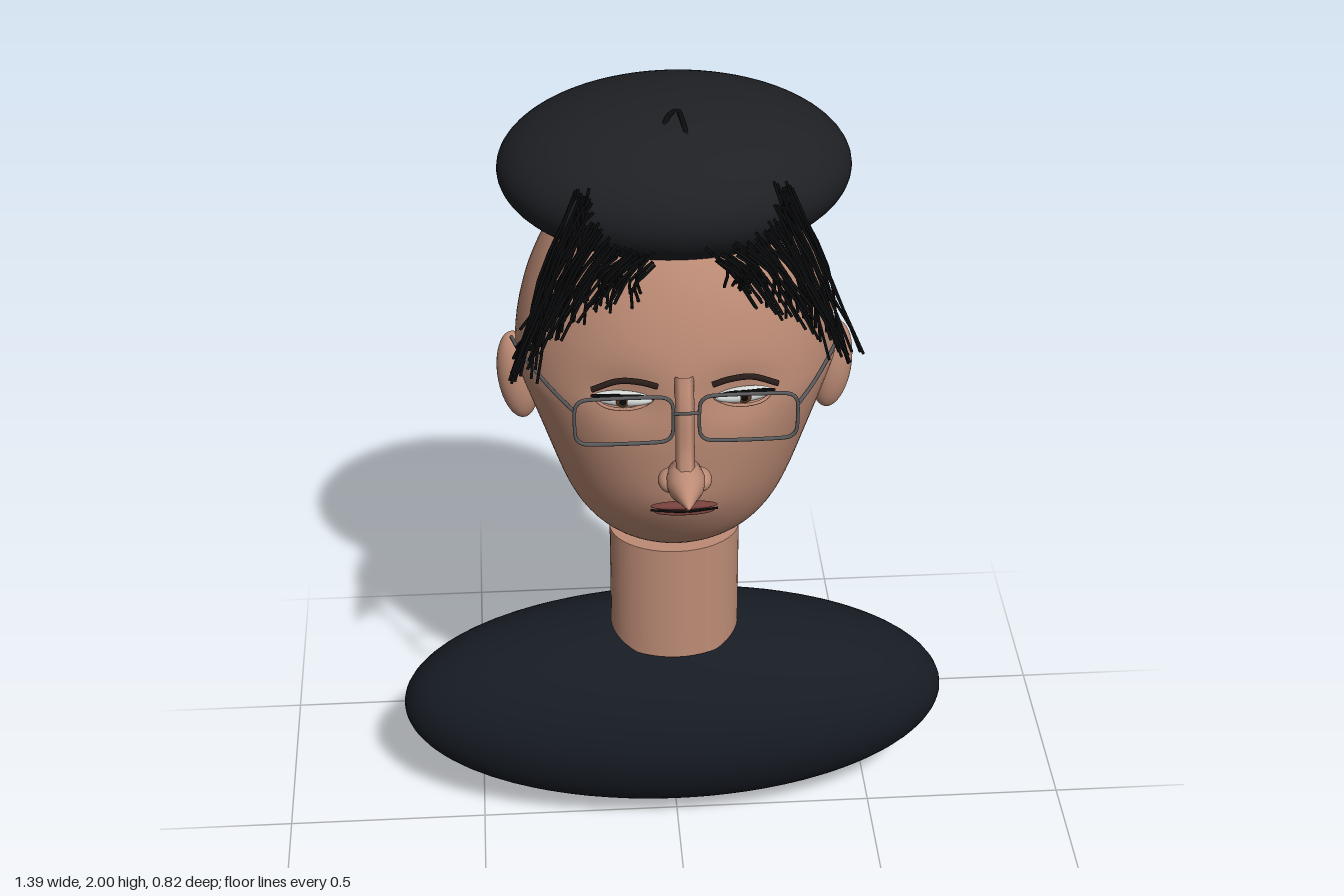
import * as THREE from 'three';
import { mergeGeometries } from 'three/addons/utils/BufferGeometryUtils.js';

const mat = (color, side = THREE.FrontSide) => new THREE.MeshStandardMaterial({ color, side });
const V = (x, y, z) => new THREE.Vector3(x, y, z);

export function createModel() {
  const model = new THREE.Group();
  const skin = mat(0xbe8c76), cloth = mat(0x171c24), felt = mat(0x1e2024);
  const hairMat = mat(0x0b0c0e), browMat = mat(0x2a1d19), metal = mat(0x5a5a5c);
  const white = mat(0xd9dedb), brown = mat(0x5b3a28), black = mat(0x080808), lip = mat(0x76413c);

  const add = (name, geometry, material, parent = model) => {
    const mesh = new THREE.Mesh(geometry, material);
    mesh.name = name;
    parent.add(mesh);
    return mesh;
  };
  const ball = (name, material, pos, radii, parent = model, seg = 32) => {
    const mesh = add(name, new THREE.SphereGeometry(1, seg, Math.ceil(seg * 0.7)), material, parent);
    mesh.position.set(...pos);
    mesh.scale.set(...radii);
    return mesh;
  };
  const wire = (pts, r, seg = 24, closed = false) =>
    new THREE.TubeGeometry(new THREE.CatmullRomCurve3(pts, closed, 'centripetal'), seg, r, 6, closed);

  // Shoulders, neck and beret
  ball('shoulders', cloth, [0, 0.275, -0.135], [0.695, 0.275, 0.275], model, 64);
  const neck = add('neck', new THREE.CylinderGeometry(1, 1, 0.32, 48), skin);
  neck.position.set(0, 0.67, -0.098);
  neck.scale.set(0.16, 1, 0.128);
  ball('beret', felt, [0, 1.82, -0.09], [0.405, 0.18, 0.322], model, 64);

  // Head: egg that narrows at the jaw, with shallow eye sockets
  const head = new THREE.SphereGeometry(1, 80, 64);
  const p = head.attributes.position;
  for (let i = 0; i < p.count; i++) {
    const y = p.getY(i);
    const jaw = 1 - 0.11 * Math.sin(Math.PI * Math.min(1, Math.max(0, -y * 1.1)));
    const x = p.getX(i) * 0.378 * jaw;
    const Y = 1.35 + y * 0.52;
    let z = -0.07 + p.getZ(i) * 0.315;
    if (z > 0) {
      const ex = (Math.abs(x) - 0.13) / 0.08, ey = (Y - 1.385) / 0.06;
      z -= 0.018 * Math.exp(-ex * ex - ey * ey);
      const cx = x / 0.13, cy = (Y - 1.08) / 0.09;
      z += 0.015 * Math.exp(-cx * cx - cy * cy);
    }
    p.setXYZ(i, x, Y, z);
  }
  head.computeVertexNormals();
  add('head', head, skin);

  // Nose: narrow bridge, pointed tip and nostril wings
  const bridge = wire([V(0, 1.45, 0.235), V(0, 1.38, 0.262), V(0, 1.28, 0.278), V(0, 1.21, 0.305)], 0.022);
  add('noseBridge', bridge, skin);
  const tipShape = [[0, 0.41], [0.012, 0.385], [0.024, 0.355], [0.04, 0.32], [0.046, 0.29], [0.04, 0.25], [0, 0.22]]
    .map(([r, z]) => new THREE.Vector2(r, z)).reverse();
  const tip = add('noseTip', new THREE.LatheGeometry(tipShape, 24), skin);
  tip.rotation.x = Math.PI / 2;
  tip.position.y = 1.203;

  // Mouth: two thin lips
  ball('upperLip', lip, [0, 1.112, 0.25], [0.078, 0.009, 0.014]);
  ball('lowerLip', lip, [0, 1.096, 0.249], [0.07, 0.009, 0.014]);
  add('mouthLine', wire([V(-0.078, 1.104, 0.254), V(0, 1.104, 0.265), V(0.078, 1.104, 0.254)], 0.003), black);

  // Rounded rectangular lens rim
  const rim = (s) => {
    const x0 = 0.03, x1 = 0.25, y0 = 1.328, y1 = 1.445, r = 0.028, pts = [];
    [[x1 - r, y1 - r], [x0 + r, y1 - r], [x0 + r, y0 + r], [x1 - r, y0 + r]].forEach(([cx, cy], c) => {
      for (let k = 0; k <= 4; k++) {
        const a = (c + k / 4) * Math.PI / 2;
        pts.push(V(s * (cx + r * Math.cos(a)), cy + r * Math.sin(a), 0.314));
      }
    });
    return wire(pts, 0.0045, 80, true);
  };

  let seed = 7;
  const rnd = () => (seed = (seed * 16807) % 2147483647) / 2147483647;
  const jit = (a) => (rnd() - 0.5) * 2 * a;
  const glasses = new THREE.Group();
  glasses.name = 'glasses';
  model.add(glasses);

  // Features mirrored on both sides
  for (const s of [1, -1]) {
    const side = s > 0 ? 'left' : 'right';
    const ear = ball(side + 'Ear', skin, [s * 0.373, 1.292, -0.065], [0.048, 0.117, 0.043]);
    ear.rotation.z = -s * 0.1;
    ball(side + 'Nostril', skin, [s * 0.034, 1.197, 0.272], [0.028, 0.026, 0.036]);

    // Eye with iris, pupil and lids
    const eye = new THREE.Group();
    eye.name = side + 'Eye';
    model.add(eye);
    const white3 = ball('eyeball', white, [s * 0.138, 1.388, 0.218], [0.068, 0.018, 0.018], eye);
    white3.rotation.y = s * 0.18;
    ball('iris', brown, [s * 0.138, 1.389, 0.233], [0.016, 0.016, 0.006], eye, 20);
    ball('pupil', black, [s * 0.138, 1.389, 0.238], [0.008, 0.008, 0.003], eye, 16);
    const lid = (dy) => wire([V(s * 0.068, 1.387, 0.226), V(s * 0.1, 1.388 + dy * 0.8, 0.236),
      V(s * 0.14, 1.388 + dy, 0.238), V(s * 0.18, 1.388 + dy * 0.8, 0.227), V(s * 0.208, 1.389, 0.205)], 0.004);
    add('upperLid', lid(0.018), black, eye);
    add('lowerLid', lid(-0.017), skin, eye);

    // Eyebrow standing slightly off the forehead
    add(side + 'Eyebrow', wire([V(s * 0.062, 1.447, 0.27), V(s * 0.1, 1.461, 0.272),
      V(s * 0.15, 1.466, 0.272), V(s * 0.21, 1.445, 0.27)], 0.007), browMat);

    add(side + 'Rim', rim(s), metal, glasses);
    add(side + 'Temple', wire([V(s * 0.25, 1.415, 0.314), V(s * 0.3, 1.425, 0.225),
      V(s * 0.365, 1.425, 0.06), V(s * 0.385, 1.415, -0.03)], 0.0045), metal, glasses);

    // Fringe: crossing strands swept outward from the beret
    const strands = [];
    for (let i = 0; i < 64; i++) {
      const t = i / 63;
      const lean = i % 2 ? 0.025 : -0.02;
      const root = V(0.06 + 0.17 * t + jit(0.012), 1.75 + 0.17 * t * t * t + jit(0.02), 0.225 + jit(0.015));
      const end = V(0.12 + 0.25 * t + lean + jit(0.012), 1.635 - 0.17 * t * t + jit(0.035),
        0.2 + (i % 2 ? 0.045 : -0.04) * (0.3 + 0.7 * t) + jit(0.01));
      const mid = root.clone().lerp(end, 0.5).add(V(0.012 - lean * 0.6, 0.012, (i % 2 ? -0.015 : 0.025)));
      [root, mid, end].forEach((v) => { v.x *= s; });
      strands.push(wire([root, mid, end], 0.0036, 6));
    }
    // Long locks that start high on the beret
    for (let i = 0; i < 12; i++) {
      const a = V(s * (0.215 + jit(0.02)), 1.9 + jit(0.035), 0.215 + jit(0.03));
      const b = V(s * (0.27 + jit(0.04)), 1.7 + jit(0.02), 0.2 + jit(0.04));
      const c = V(s * (0.36 + jit(0.03)), 1.49 + jit(0.06), 0.2 + jit(0.045));
      strands.push(wire([a, b, c], 0.0036, 8));
    }
    add(side + 'Fringe', mergeGeometries(strands), hairMat);
  }
  add('bridge', wire([V(-0.03, 1.4, 0.314), V(0, 1.408, 0.326), V(0.03, 1.4, 0.314)], 0.0045), metal, glasses);

  // Small tuft on the crown
  add('crownTuft', mergeGeometries([
    wire([V(-0.035, 1.975, 0.045), V(-0.02, 1.993, 0.02), V(-0.005, 1.99, -0.01)], 0.006, 8),
    wire([V(0.003, 1.99, -0.01), V(0.008, 1.993, 0.03), V(0.018, 1.965, 0.08)], 0.006, 8),
  ]), hairMat);

  return model;
}
